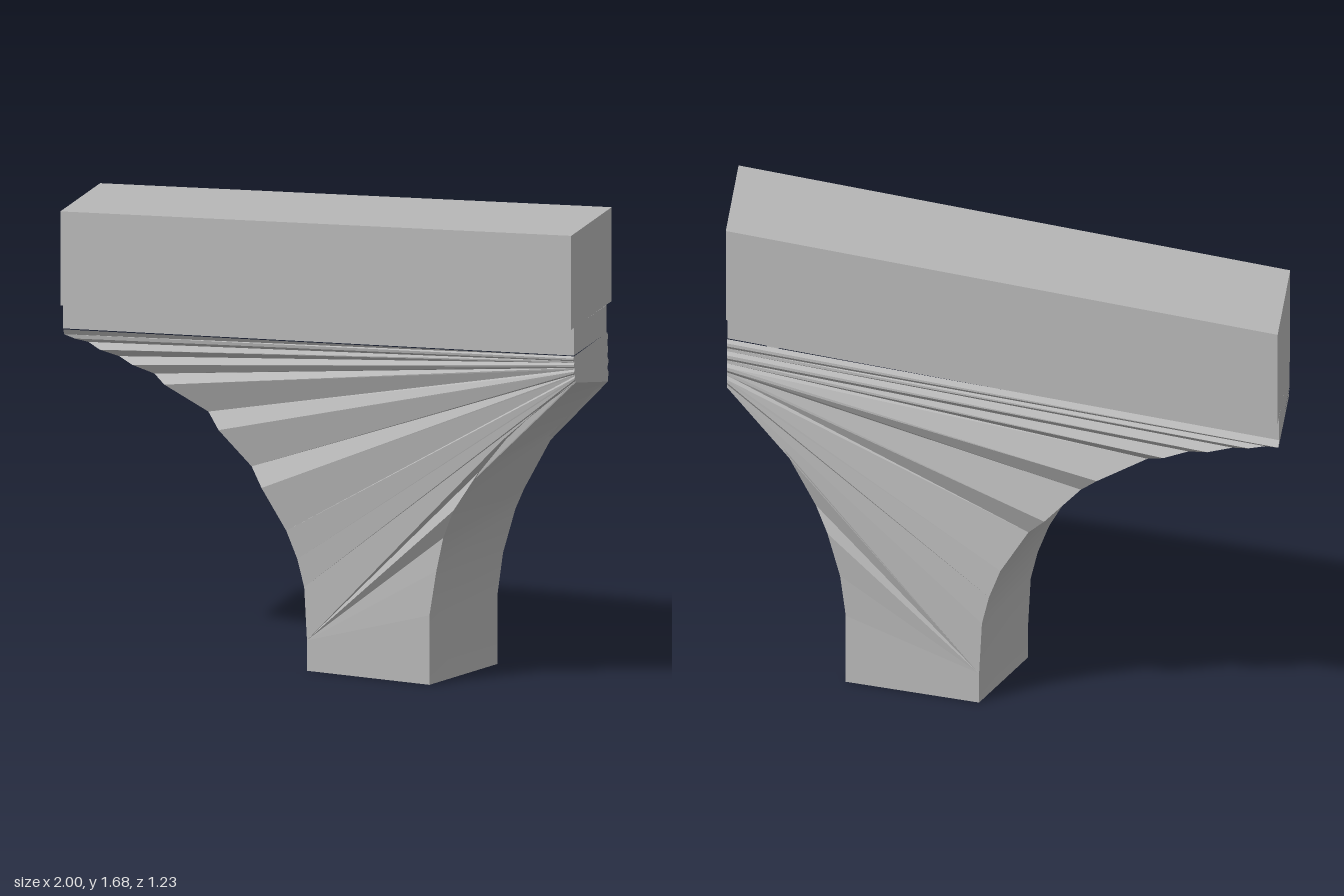
import * as THREE from 'three';

const stone = new THREE.MeshStandardMaterial({ color: 0xb6b6b6 });
stone.name = 'stone grey';

// Quad strip between two equally long edges; flat or smooth
function strip(name, a, b, smooth = false) {
  const n = a.length, idx = [];
  const same = (p, q) => p.every((v, i) => v === q[i]);
  for (let i = 0; i < n - 1; i++) {
    if (!same(b[i], b[i + 1])) idx.push(i, n + i, n + i + 1);
    if (!same(a[i], a[i + 1])) idx.push(i, n + i + 1, i + 1);
  }
  let g = new THREE.BufferGeometry();
  g.setAttribute('position', new THREE.Float32BufferAttribute([...a, ...b].flat(), 3));
  g.setIndex(idx);
  if (!smooth) g = g.toNonIndexed();
  g.computeVertexNormals();
  const m = new THREE.Mesh(g, stone);
  m.name = name;
  return m;
}

// Box skewed by rules: front/back give z, bottom/top give y along x
function skewBeam(name, front, back, bottom, top) {
  const g = new THREE.BoxGeometry(2, 2, 2).toNonIndexed();
  const p = g.attributes.position;
  for (let i = 0; i < p.count; i++) {
    const x = p.getX(i), s = p.getZ(i);
    const y = (p.getY(i) > 0 ? top : bottom)(x) + 0.004 * s;
    p.setXYZ(i, x, y, (s > 0 ? front : back)(x));
  }
  g.computeVertexNormals();
  const m = new THREE.Mesh(g, stone);
  m.name = name;
  return m;
}

export function createModel() {
  const group = new THREE.Group();
  group.name = 'skewArchPier';

  // Beam and the recessed course beneath it
  const beamBottom = x => 1.285 + 0.0525 * x;
  group.add(skewBeam('beam', x => 0.3075 + 0.3075 * x, x => -0.3125 + 0.3025 * x,
    beamBottom, x => 1.6225 + 0.0525 * x));
  group.add(skewBeam('recessedCourse', x => 0.2675 + 0.3075 * x, x => -0.24 + 0.31 * x,
    x => 1.19 + 0.0475 * x, beamBottom));

  // Stepped left arch: y, front x, back x, front z, back z
  const leftRows = [
    [0, -0.055, 0.085, 0.21, -0.245], [0.11, -0.055, 0.085, 0.21, -0.245],
    [0.3, -0.065, 0.075, 0.21, -0.245], [0.4, -0.09, 0.05, 0.21, -0.245],
    [0.5, -0.13, 0.01, 0.21, -0.245], [0.65, -0.22, -0.09, 0.21, -0.245],
    [0.715, -0.27, -0.15, 0.15, -0.305], [0.84, -0.39, -0.28, 0.15, -0.305],
    [0.895, -0.44, -0.34, 0.095, -0.36], [0.985, -0.6, -0.52, 0.095, -0.36],
    [1.012, -0.65, -0.58, 0.035, -0.42], [1.04, -0.73, -0.67, 0.035, -0.42],
    [1.06, -0.79, -0.74, -0.015, -0.475], [1.08, -0.86, -0.83, -0.015, -0.475],
    [1.1, -0.91, -0.89, -0.05, -0.53], [1.11, -0.96, -0.95, -0.05, -0.53],
    [1.122, -1, -1, -0.06, -0.573], [1.142, -1, -1, -0.045, -0.55],
  ];
  const leftFront = leftRows.map(r => [r[1], r[0], r[3]]);
  const leftBack = leftRows.map(r => [r[2], r[0], r[4]]);

  // Stepped right arch edges
  const rightFront = [
    [0.43, 0, 0.38], [0.43, 0.25, 0.38], [0.455, 0.41, 0.38], [0.48, 0.53, 0.38],
    [0.53, 0.64, 0.435], [0.62, 0.78, 0.435], [0.72, 0.91, 0.495], [0.81, 0.99, 0.495],
    [0.9, 1.07, 0.55], [1, 1.14, 0.55],
  ];
  const rightBack = [
    [0.57, 0, -0.075], [0.57, 0.25, -0.075], [0.59, 0.4, -0.075], [0.635, 0.56, -0.075],
    [0.68, 0.645, -0.02], [0.79, 0.85, -0.02], [0.84, 0.91, 0.035], [0.9, 0.965, 0.035],
    [0.95, 1.02, 0.05], [1, 1.055, 0.05],
  ];

  // Notched ends at the right where the courses converge
  const endSteps = leftRows.length - 2;
  const endEdge = (y0, y1, z0, z1, notch) => Array.from({ length: endSteps + 1 }, (_, i) => {
    const t = i / endSteps;
    return [1, y0 + (y1 - y0) * t, z0 + (z1 - z0) * t + (i % 4 > 1 ? notch : 0)];
  });
  const endFront = endEdge(1.14, 1.238, 0.55, 0.57, 0.012);
  const endBack = endEdge(1.055, 1.234, 0.05, 0.06, -0.012);

  // Fanned faces: first fan up the right arch, then down the left arch
  const fan = (left, right, end) => [
    [left[0], ...right.slice(1).map(() => left[1]), ...left.slice(2)],
    [...right, ...end.slice(1)],
  ];
  const [fl, fr] = fan(leftFront, rightFront, endFront);
  const [bl, br] = fan(leftBack, rightBack, endBack);
  group.add(strip('frontFannedCourses', fl, fr));
  group.add(strip('backFannedCourses', br, bl));

  // Arch undersides, ends and foot
  group.add(strip('rightArchUnderside', rightFront, rightBack, true));
  group.add(strip('leftArchUnderside', leftBack.slice(0, -1), leftFront.slice(0, -1), true));
  group.add(strip('rightEnd', endFront, endBack));
  group.add(strip('leftEnd', leftBack.slice(-2), leftFront.slice(-2)));
  group.add(strip('foot', [leftBack[0], leftFront[0]], [rightBack[0], rightFront[0]]));
  return group;
}
